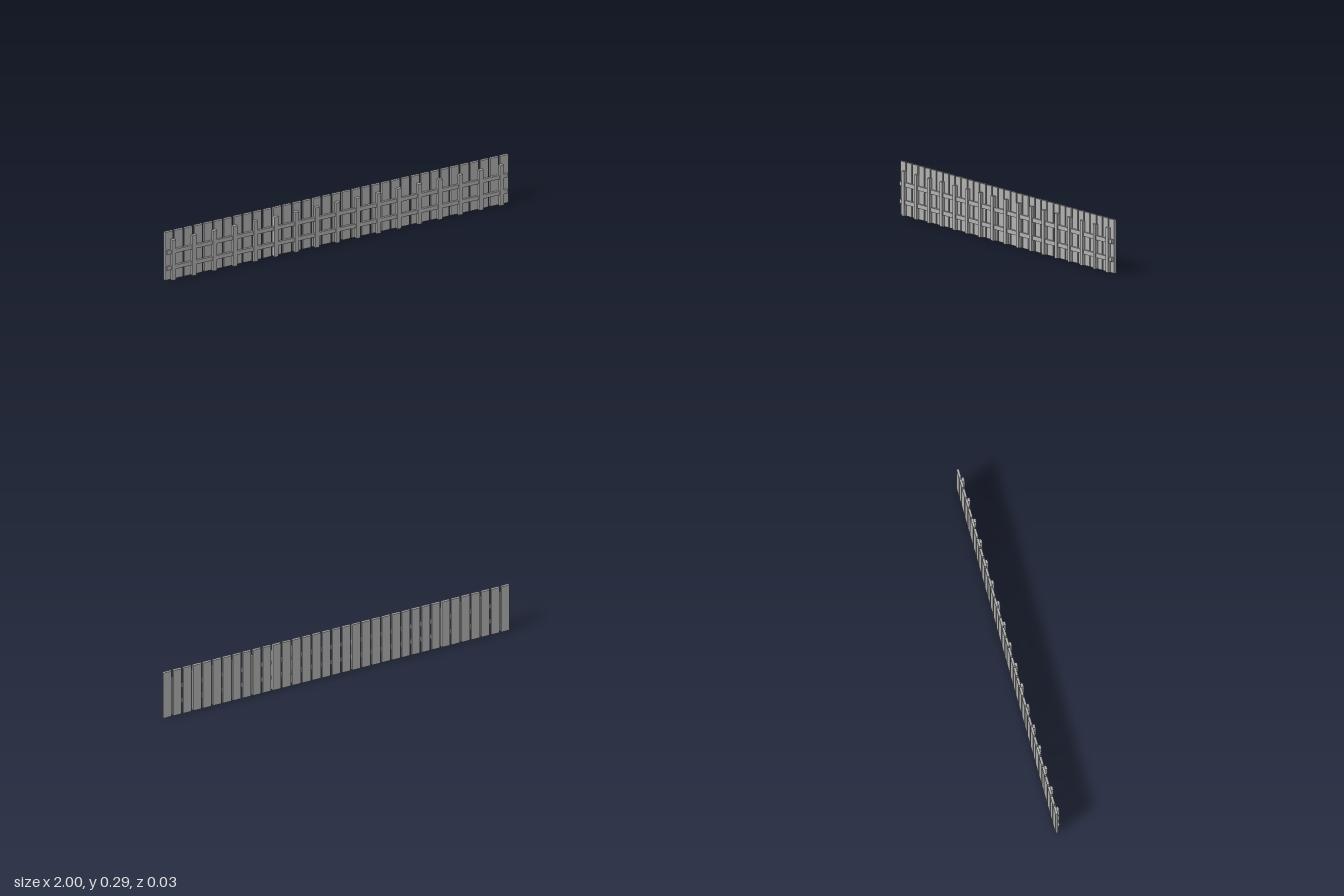
import * as THREE from 'three';

export function createModel() {
  const fence = new THREE.Group();
  fence.name = 'fence';
  const grey = new THREE.MeshStandardMaterial({ color: 0xb2b2b2 });
  grey.name = 'grey wood';

  // Box given by its centre x, base y, back z and size
  const addBoard = (name, x, y, z, w, h, d) => {
    const mesh = new THREE.Mesh(new THREE.BoxGeometry(w, h, d), grey);
    mesh.name = name;
    mesh.position.set(x, y + h / 2, z + d / 2);
    fence.add(mesh);
  };
  const face = -0.0015; // plane where planks meet the frame

  // Upright planks with narrow gaps
  const planks = 35, plankWidth = 0.0475;
  const plankPitch = (2 - plankWidth) / (planks - 1);
  for (let i = 0; i < planks; i++) {
    addBoard('plank', (i - (planks - 1) / 2) * plankPitch, 0, -0.015, plankWidth, 0.287, 0.0135);
  }

  // Posts in front of the planks
  const posts = 17, postPitch = 0.1193;
  for (let i = 0; i < posts; i++) {
    addBoard('post', (i - (posts - 1) / 2) * postPitch, 0, face, 0.023, 0.24, 0.0165);
  }

  // Lower and upper rails
  for (const y of [0.062, 0.157]) addBoard('rail', 0, y, face, 1.982, 0.023, 0.0105);

  return fence;
}
